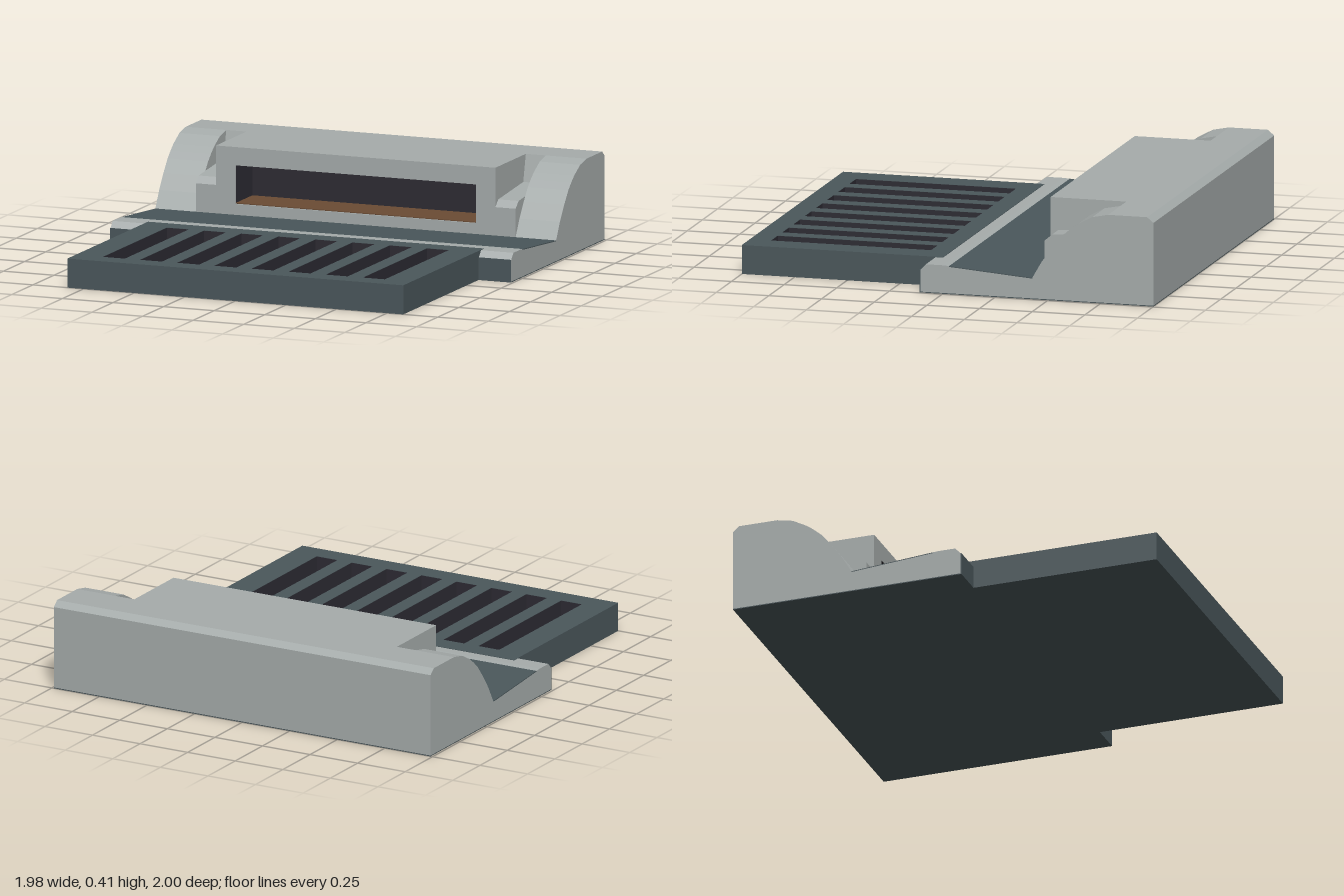
import * as THREE from 'three';

const mat = (name, color, extra = {}) => {
  const m = new THREE.MeshStandardMaterial({ color, ...extra });
  m.name = name;
  return m;
};

export function createModel() {
  const model = new THREE.Group();
  model.name = 'dockStation';
  const grey = mat('light grey', 0xa6acab);
  const slate = mat('dark slate', 0x4a575b);
  const black = mat('slot black', 0x2d2b33);
  const brown = mat('slot brown', 0x6b4c34);

  const add = (name, geometry, material) => {
    const mesh = new THREE.Mesh(geometry, material);
    mesh.name = name;
    model.add(mesh);
    return mesh;
  };
  const shapeOf = (pts) => new THREE.Shape(pts.map(([a, b]) => new THREE.Vector2(a, b)));
  // Rectangular path used as a hole
  const rect = (x0, x1, y0, y1) => shapeOf([[x0, y0], [x1, y0], [x1, y1], [x0, y1]]);

  // Side profile of [z, y] points swept from x0 to x1
  const sweep = (name, pts, x0, x1, material) => {
    const g = new THREE.ExtrudeGeometry(shapeOf(pts), { depth: x1 - x0, bevelEnabled: false });
    g.rotateY(-Math.PI / 2).translate(x1, 0, 0);
    return add(name, g, material);
  };
  const box = (name, x0, x1, y0, y1, z0, z1, material) => {
    const g = new THREE.BoxGeometry(x1 - x0, y1 - y0, z1 - z0);
    g.translate((x0 + x1) / 2, (y0 + y1) / 2, (z0 + z1) / 2);
    return add(name, g, material);
  };
  // Inward-facing box with one open face (2 = top, 4 = front)
  const pocket = (name, x0, x1, y0, y1, z0, z1, open) => {
    const g = box(name, x0, x1, y0, y1, z0, z1, black).geometry;
    const kept = Array.from(g.index.array).filter((_, i) => Math.floor(i / 6) !== open);
    g.setIndex(kept.reverse());
    g.clearGroups();
    const n = g.attributes.normal;
    for (let i = 0; i < n.count; i++) n.setXYZ(i, -n.getX(i), -n.getY(i), -n.getZ(i));
  };

  const W = 0.99, B = 0.004, F = -0.425, TOP = 0.415;
  const rear = [[-0.97, TOP], [-1, 0.39], [-1, B]];

  // Base ramp with its slate top and underside
  sweep('baseRamp', [[0.045, B], [0.045, 0.133], [0, 0.133], [-0.03, 0.131],
    [-0.03, 0.127], [F, 0.096], [F, B]], -W, W, grey);
  sweep('rampPanel', [[-0.03, 0.127], [-0.03, 0.131], [F, 0.1], [F, 0.096]], -W, W, slate);
  box('basePlate', -W, W, 0, B, -1, 0.045, slate);

  // Parts mirrored at both sides
  for (const s of [-1, 1]) {
    const span = (a, b) => (s > 0 ? [a, b] : [-b, -a]);
    // Front tab beside the tray
    sweep('frontTab', [[0.045, B], [0.106, B], [0.106, 0.105], [0.08, 0.133], [0.045, 0.133]],
      ...span(0.83, W), grey);
    box('tabFace', ...span(0.83, W), 0, 0.105, 0.106, 0.11, slate);
    box('tabPlate', ...span(0.83, W), 0, B, 0.045, 0.106, slate);
    // Curved end cheek
    sweep('endCheek', [[F, B], [F, 0.1], [-0.47, 0.178], [-0.52, 0.247], [-0.57, 0.307],
      [-0.605, 0.337], [-0.64, 0.363], [-0.71, 0.4], [-0.785, TOP], ...rear],
      ...span(0.79, W), grey);
    // Recess between cheek and centre block
    sweep('sideRecess', [[F, B], [F, 0.232], [-0.46, 0.262], [-0.755, 0.29], [-0.785, TOP], ...rear],
      ...span(0.69, 0.79), grey);
  }

  // Centre block: pierced front and solid rear
  const D = -0.625;
  const face = rect(-0.69, 0.69, B, TOP);
  face.holes.push(rect(-0.595, 0.595, 0.15, 0.33));
  add('centreFront', new THREE.ExtrudeGeometry(face, { depth: F - D, bevelEnabled: false })
    .translate(0, 0, D), grey);
  sweep('centreRear', [[D, B], [D, TOP], ...rear], -0.69, 0.69, grey);
  pocket('slotLining', -0.593, 0.593, 0.152, 0.328, D + 0.003, F - 0.001, 4);
  box('slotFloor', -0.592, 0.592, 0.152, 0.156, D + 0.004, F - 0.002, brown);

  // Front tray with eight open slots
  const H = 0.135, FLOOR = 0.03;
  const tray = rect(-0.83, 0.83, -1, -0.045);
  for (let i = 0; i < 8; i++) {
    const x = (i - 3.5) * 0.1835;
    tray.holes.push(rect(x - 0.055, x + 0.055, -0.9, -0.14));
    pocket('traySlot', x - 0.054, x + 0.054, FLOOR + 0.003, H - 0.001, 0.141, 0.899, 2);
  }
  add('tray', new THREE.ExtrudeGeometry(tray, { depth: H - FLOOR, bevelEnabled: false })
    .rotateX(-Math.PI / 2).translate(0, FLOOR, 0), slate);
  box('trayFloor', -0.83, 0.83, 0, FLOOR, 0.045, 1, slate);

  return model;
}
